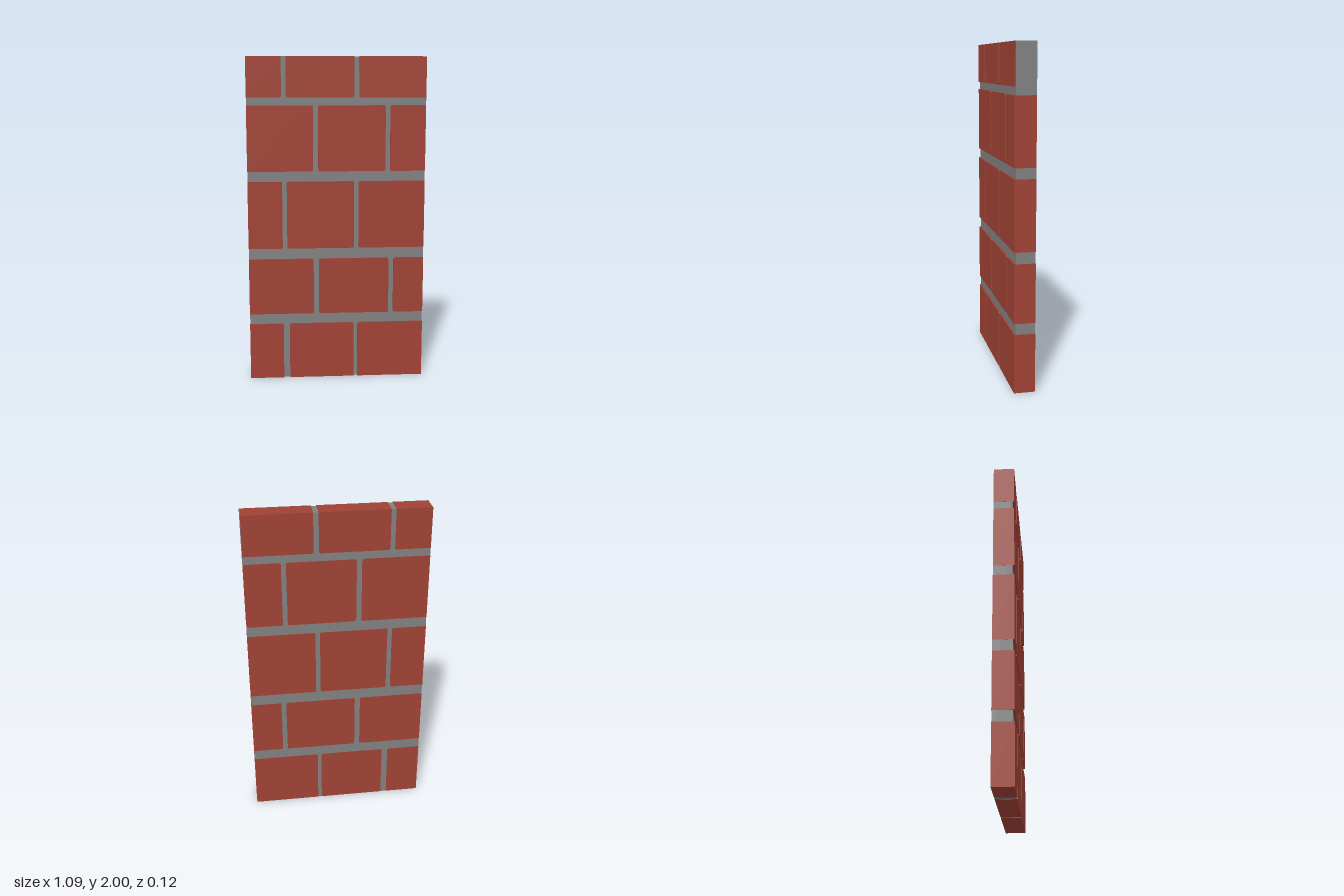
import * as THREE from 'three';

const W = 0.543, H = 2, D = 0.0625; // half width, height, half depth
const CUT = 0.012;                  // rounding of brick corners beside joints

// Brick courses: vertical span and the two upright joints [start, end]
const courses = [
  { y: [0, 0.353], joints: [[-0.333, -0.295], [0.107, 0.131]] },
  { y: [0.418, 0.768], joints: [[-0.143, -0.11], [0.325, 0.355]] },
  { y: [0.835, 1.25], joints: [[-0.333, -0.305], [0.107, 0.135]] },
  { y: [1.312, 1.71], joints: [[-0.143, -0.112], [0.298, 0.327]] },
  { y: [1.757, 2], joints: [[-0.333, -0.305], [0.107, 0.138]] },
];

// Brick outline; corners on the panel's border stay square
function brickGeometry(x0, x1, y0, y1) {
  const shape = new THREE.Shape();
  const corners = [[x0, y0, 1, 1], [x1, y0, -1, 1], [x1, y1, -1, -1], [x0, y1, 1, -1]];
  corners.forEach(([x, y, sx, sy], i) => {
    const border = Math.abs(x) === W || y === 0 || y === H;
    const c = border ? 0 : CUT;
    const alongX = [x + sx * c, y], alongY = [x, y + sy * c];
    const [a, b] = i % 2 ? [alongX, alongY] : [alongY, alongX];
    if (i === 0) shape.moveTo(...a); else shape.lineTo(...a);
    if (c) shape.quadraticCurveTo(x, y, ...b);
  });
  shape.closePath();
  const geo = new THREE.ExtrudeGeometry(shape, { depth: 2 * D, bevelEnabled: false, curveSegments: 3 });
  return geo.translate(0, 0, -D);
}

export function createModel() {
  const brickRed = new THREE.MeshStandardMaterial({ name: 'brickRed', color: 0xa04235 });
  const mortarGrey = new THREE.MeshStandardMaterial({ name: 'mortarGrey', color: 0x808080 });
  const wall = new THREE.Group();
  wall.name = 'brickWall';

  const addBox = (name, x0, x1, y0, y1, z0, z1) => {
    const mesh = new THREE.Mesh(new THREE.BoxGeometry(x1 - x0, y1 - y0, z1 - z0), mortarGrey);
    mesh.position.set((x0 + x1) / 2, (y0 + y1) / 2, (z0 + z1) / 2);
    mesh.name = name;
    wall.add(mesh);
  };

  // Mortar slab, recessed at the front and almost flush elsewhere
  const e = 0.001;
  addBox('mortar', -W + e, W - e, e, H - e, -D + e, 0.053);

  // Mortar covering the left end of the top course
  addBox('endMortar', W - 0.002, W + e, 1.71, H, -D, 0.055);

  // Bricks
  const bricks = new THREE.Group();
  bricks.name = 'bricks';
  for (const { y, joints } of courses) {
    const edges = [-W, ...joints.flat(), W];
    for (let i = 0; i < edges.length; i += 2) {
      const brick = new THREE.Mesh(brickGeometry(edges[i], edges[i + 1], y[0], y[1]), brickRed);
      brick.name = 'brick';
      bricks.add(brick);
    }
  }
  wall.add(bricks);
  return wall;
}
